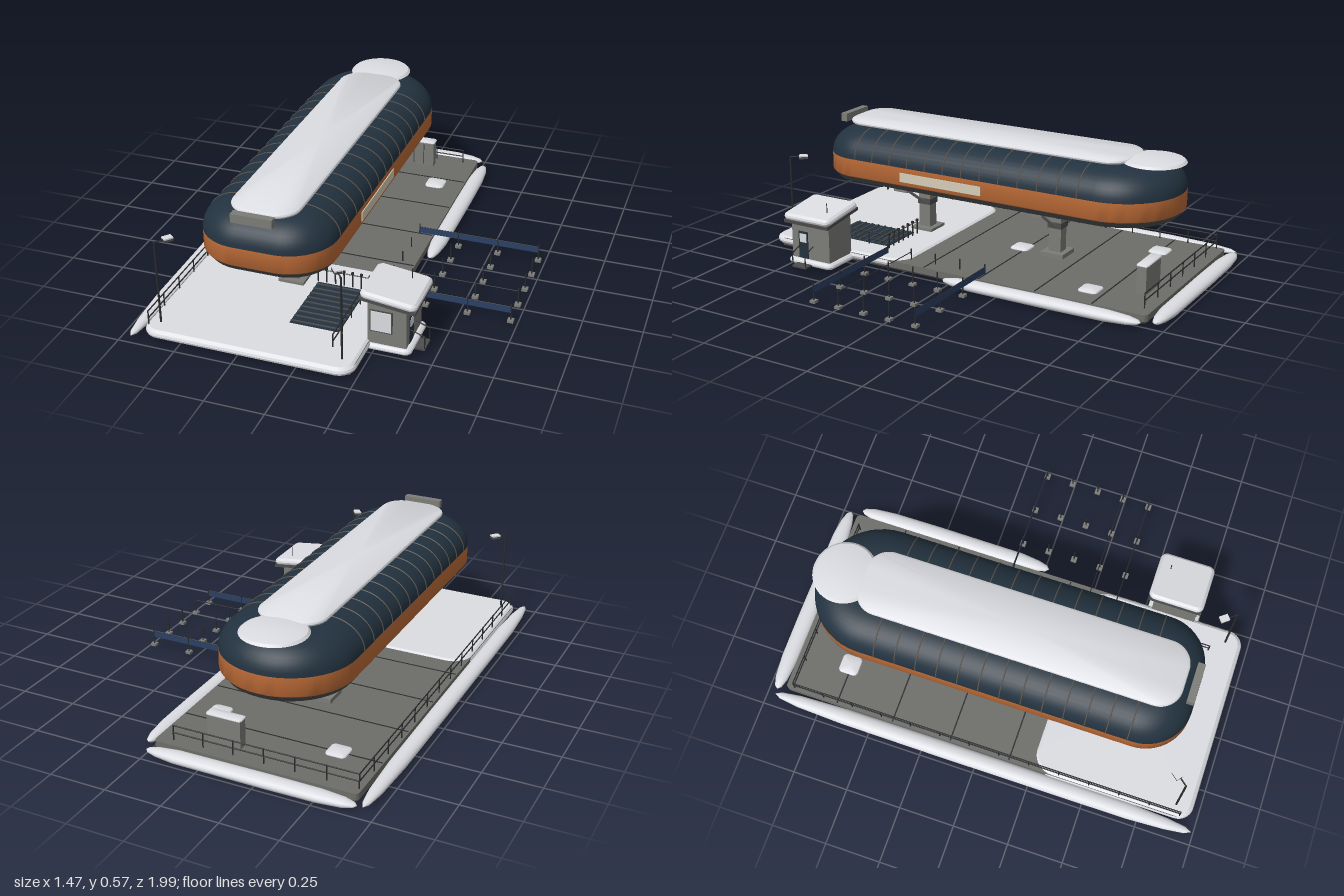
import * as THREE from 'three';
import { toCreasedNormals } from 'three/addons/utils/BufferGeometryUtils.js';

const paint = (name, color) => {
  const m = new THREE.MeshStandardMaterial({ color });
  m.name = name;
  return m;
};

export function createModel() {
  const model = new THREE.Group();
  const snow = paint('snow', 0xdcdde2), deckGrey = paint('deckGrey', 0x6d6d69), wallGrey = paint('wallGrey', 0x7c7c78),
    navy = paint('navy', 0x22323f), orange = paint('orange', 0xc06d38), dark = paint('dark', 0x2a2c2e),
    underGrey = paint('underGrey', 0x4c4d4c), seam = paint('seam', 0x5f554c), blue = paint('blue', 0x2b4065),
    cream = paint('cream', 0xd6cdb8);

  const add = (name, geo, mat, x = 0, y = 0, z = 0, parent = model) => {
    const m = new THREE.Mesh(geo, mat);
    m.name = name;
    m.position.set(x, y, z);
    parent.add(m);
    return m;
  };
  // Box given by its extents on each axis
  const box = (name, mat, x0, x1, y0, y1, z0, z1, parent = model) =>
    add(name, new THREE.BoxGeometry(x1 - x0, y1 - y0, z1 - z0), mat, (x0 + x1) / 2, (y0 + y1) / 2, (z0 + z1) / 2, parent);
  // Thin rod between two points
  const rod = (name, mat, a, b, r, parent = model) => {
    const p = new THREE.Vector3(...a), q = new THREE.Vector3(...b), d = q.clone().sub(p);
    const m = add(name, new THREE.CylinderGeometry(r, r, d.length(), 8), mat, 0, 0, 0, parent);
    m.position.copy(p).add(q).multiplyScalar(0.5);
    m.quaternion.setFromUnitVectors(new THREE.Vector3(0, 1, 0), d.normalize());
    return m;
  };
  // Rounded plan outline lofted through [inset, y] layers, from bottom to top
  const loft = (x0, x1, z0, z1, rBack, rFront, layers) => {
    const n = 12, count = 4 * (n + 1), pos = [], idx = [];
    for (const [inset, y] of layers) {
      for (let c = 0; c < 4; c++) {
        const front = c < 2, right = c === 0 || c === 3;
        const r = Math.max((front ? rFront : rBack) - inset, 0.004);
        const cx = right ? x1 - inset - r : x0 + inset + r;
        const cz = front ? z1 - inset - r : z0 + inset + r;
        for (let i = 0; i <= n; i++) {
          const a = (c + i / n) * Math.PI / 2;
          pos.push(cx + r * Math.cos(a), y, cz + r * Math.sin(a));
        }
      }
    }
    const last = layers.length - 1, bottom = layers.length * count, top = bottom + 1;
    pos.push((x0 + x1) / 2, layers[0][1], (z0 + z1) / 2, (x0 + x1) / 2, layers[last][1], (z0 + z1) / 2);
    for (let j = 0; j < count; j++) {
      const k = (j + 1) % count;
      for (let l = 0; l < last; l++) {
        const a = l * count + j, b = l * count + k, c = a + count, d = b + count;
        idx.push(a, c, b, b, c, d);
      }
      idx.push(bottom, j, k, top, last * count + k, last * count + j);
    }
    const g = new THREE.BufferGeometry();
    g.setAttribute('position', new THREE.Float32BufferAttribute(pos, 3));
    g.setIndex(idx);
    return toCreasedNormals(g, 0.6);
  };
  // Pillow edge used for snow layers
  const pillow = (y0, y1, e) => [[e, y0], [e * 0.2, y0 + (y1 - y0) * 0.25], [0, (y0 + y1) / 2],
    [e * 0.2, y0 + (y1 - y0) * 0.75], [e, y1]];

  // Platform and its snow
  add('platform', loft(-0.66, 0.235, -0.92, 0.95, 0.02, 0.06, [[0.01, 0.035], [0, 0.045], [0, 0.075]]), deckGrey);
  box('platformUnderside', underGrey, -0.64, 0.22, 0.032, 0.035, -0.9, 0.92);
  add('frontSnow', loft(-0.665, 0.24, 0.235, 0.97, 0.1, 0.07, pillow(0.042, 0.082, 0.018)), snow);
  for (const z of [-0.675, -0.41, -0.137, 0.138]) box('deckSeam', dark, -0.655, 0.23, 0.074, 0.0765, z - 0.003, z + 0.003);
  for (const [x, z] of [[0.105, -0.61], [-0.47, -0.68], [-0.2, -0.12]])
    add('snowPatch', loft(x - 0.045, x + 0.045, z - 0.045, z + 0.045, 0.02, 0.02, pillow(0.074, 0.09, 0.01)), snow);

  // Tapered snow banks round three edges
  const bank = (length, width, height, x, z, alongX) => {
    const profile = [[0, -0.5], [0.4, -0.485], [0.72, -0.44], [0.95, -0.33], [1, -0.1], [0.97, 0.15],
      [0.95, 0.35], [0.7, 0.44], [0.4, 0.485], [0, 0.5]].map(([r, t]) => new THREE.Vector2(r, t));
    const g = new THREE.LatheGeometry(profile, 20);
    g.scale(width / 2, length, height / 2);
    g.rotateX(Math.PI / 2);
    if (alongX) g.rotateY(Math.PI / 2);
    add('snowBank', g, snow, x, 0.054, z);
  };
  bank(1.95, 0.075, 0.05, -0.698, 0.015, false);
  bank(0.92, 0.08, 0.05, -0.215, -0.96, true);
  bank(0.93, 0.075, 0.05, 0.267, -0.445, false);

  // Cabin body
  const X0 = -0.5, X1 = 0.07, Z0 = -0.872, Z1 = 0.828, CX = -0.215;
  const dome = [];
  for (let i = 0; i <= 10; i++) {
    const a = i / 10 * Math.PI / 2;
    dome.push([0.15 * (1 - Math.cos(a)), 0.455 + 0.12 * Math.sin(a)]);
  }
  const cabin = (name, mat, layers) => add(name, loft(X0, X1, Z0, Z1, 0.28, 0.2, layers), mat);
  cabin('cabinDome', navy, dome);
  cabin('cabinBand', orange, [[0.004, 0.37], [0, 0.376], [0, 0.455]]);
  cabin('cabinSkirt', underGrey, [[0.05, 0.337], [0.025, 0.343], [0.004, 0.37]]);
  cabin('cabinFloor', dark, [[0.1, 0.333], [0.1, 0.338]]);
  box('sidePanel', cream, 0.066, 0.074, 0.39, 0.432, -0.055, 0.362);

  // Dome seams and lamps under the skirt
  for (let i = 0; i < 13; i++) {
    const z = -0.515 + i * 0.0935;
    for (const s of [-1, 1]) {
      const pts = dome.map(([d, y]) => new THREE.Vector3(CX + s * (0.285 - d), y, z));
      add('domeSeam', new THREE.TubeGeometry(new THREE.CatmullRomCurve3(pts), 14, 0.003, 5), seam);
    }
  }
  const lampGeo = new THREE.SphereGeometry(0.008, 8, 6);
  for (let i = 0; i < 24; i++)
    for (const s of [-1, 1]) add('skirtLamp', lampGeo, underGrey, CX + s * 0.225, 0.337, -0.5 + i * 0.048);

  // Snow on the roof and the front sign box
  add('roofSnow', loft(-0.362, -0.068, -0.66, 0.765, 0.1, 0.1, pillow(0.57, 0.597, 0.014)), snow);
  add('roofSnowDisc', loft(-0.36, -0.08, -0.875, -0.6, 0.137, 0.137, [[0.02, 0.57], [0, 0.577], [0.01, 0.587], [0.06, 0.596]]), snow);
  box('roofBox', wallGrey, -0.305, -0.13, 0.565, 0.603, 0.79, 0.822);

  // Supports
  for (const z of [0.4, -0.288]) {
    const g = new THREE.Group();
    g.name = 'support';
    model.add(g);
    box('column', wallGrey, -0.244, -0.19, 0.08, 0.337, z - 0.03, z + 0.03, g);
    box('columnFoot', wallGrey, -0.275, -0.16, 0.074, 0.095, z - 0.055, z + 0.055, g);
    box('columnCollar', underGrey, -0.25, -0.184, 0.205, 0.232, z - 0.034, z + 0.034, g);
    box('crossBeam', wallGrey, -0.44, 0.01, 0.318, 0.338, z - 0.035, z + 0.035, g);
    for (const s of [-1, 1]) rod('brace', wallGrey, [CX + s * 0.02, 0.21, z], [CX + s * 0.185, 0.322, z], 0.007, g);
  }

  // Railings
  const railing = (ax, az, bx, bz, posts) => {
    const g = new THREE.Group();
    g.name = 'railing';
    model.add(g);
    for (const y of [0.108, 0.14]) rod('rail', dark, [ax, y, az], [bx, y, bz], 0.0028, g);
    for (let i = 0; i <= posts; i++) {
      const t = i / posts, x = ax + (bx - ax) * t, z = az + (bz - az) * t;
      rod('railPost', dark, [x, 0.074, z], [x, 0.142, z], 0.003, g);
    }
  };
  railing(-0.648, -0.88, -0.648, 0.92, 13);
  railing(-0.648, -0.88, 0.165, -0.88, 6);
  railing(0.115, 0.4, 0.115, 0.83, 4);

  // Entrance grating with a row of posts
  box('entranceWell', navy, -0.11, 0.103, 0.078, 0.086, 0.41, 0.73);
  for (let i = 0; i < 9; i++) box('gratingBar', underGrey, -0.11, 0.103, 0.085, 0.09, 0.425 + i * 0.036, 0.431 + i * 0.036);
  for (let i = 0; i < 7; i++) {
    const x = -0.115 + i * 0.039;
    rod('entrancePost', dark, [x, 0.076, 0.395], [x, 0.145, 0.395], 0.0035);
    box('entrancePostCap', dark, x - 0.005, x + 0.005, 0.143, 0.153, 0.39, 0.4);
  }
  rod('entranceRail', seam, [-0.115, 0.14, 0.395], [0.16, 0.14, 0.395], 0.0025);

  // Rear cabinet
  box('cabinet', wallGrey, -0.112, 0.038, 0.074, 0.198, -0.83, -0.787);
  add('cabinetSnow', loft(-0.117, 0.043, -0.835, -0.782, 0.012, 0.012, pillow(0.194, 0.208, 0.007)), snow);
  for (const x of [-0.062, -0.012]) box('cabinetJoint', underGrey, x - 0.002, x + 0.002, 0.085, 0.19, -0.788, -0.784);

  // Lamp posts at the front corners
  for (const s of [-1, 1]) {
    const x = CX + s * 0.392, hx = x - s * 0.035;
    rod('lampPole', dark, [x, 0.075, 0.893], [x, 0.455, 0.893], 0.0045);
    rod('lampArm', dark, [x, 0.455, 0.893], [hx, 0.455, 0.85], 0.003);
    const head = add('lampHead', new THREE.BoxGeometry(0.03, 0.01, 0.04), underGrey, hx, 0.45, 0.845);
    head.rotation.y = s * 0.68;
    const cap = add('lampSnow', new THREE.BoxGeometry(0.03, 0.006, 0.04), snow, hx, 0.458, 0.845);
    cap.rotation.y = s * 0.68;
  }

  // Booth
  const booth = new THREE.Group();
  booth.name = 'booth';
  model.add(booth);
  box('boothBody', wallGrey, 0.225, 0.388, 0.055, 0.25, 0.53, 0.732, booth);
  add('boothSnow', loft(0.215, 0.41, 0.51, 0.75, 0.03, 0.03, pillow(0.04, 0.068, 0.012)), snow, 0, 0, 0, booth);
  box('frontWindowFrame', underGrey, 0.234, 0.331, 0.124, 0.226, 0.73, 0.734, booth);
  box('frontWindow', snow, 0.24, 0.325, 0.13, 0.22, 0.731, 0.737, booth);
  box('sideDoor', navy, 0.386, 0.391, 0.07, 0.195, 0.645, 0.695, booth);
  box('sideWindow', snow, 0.387, 0.393, 0.145, 0.185, 0.652, 0.688, booth);
  const roof = new THREE.Group();
  roof.name = 'boothRoof';
  roof.position.set(0.31, 0.262, 0.627);
  roof.rotation.z = -0.125;
  booth.add(roof);
  box('roofPanel', underGrey, -0.118, 0.118, -0.01, 0.004, -0.118, 0.118, roof);
  add('roofPanelSnow', loft(-0.12, 0.12, -0.125, 0.125, 0.03, 0.03, pillow(0.0, 0.034, 0.014)), snow, 0, 0, 0, roof);
  rod('antenna', dark, [0.355, 0.27, 0.56], [0.355, 0.335, 0.56], 0.002, booth);
  box('boothStep', underGrey, 0.39, 0.452, 0.045, 0.054, 0.615, 0.69, booth);
  for (const z of [0.618, 0.687]) {
    rod('stepRail', dark, [0.39, 0.132, z], [0.45, 0.11, z], 0.0025, booth);
    rod('stepRailPost', dark, [0.45, 0.05, z], [0.45, 0.11, z], 0.0025, booth);
  }

  // Queue barriers
  [-0.137, -0.011, 0.114, 0.24, 0.366].forEach((z, row) => {
    for (const x of [0.355, 0.537, 0.722]) {
      box('barrierFoot', wallGrey, x - 0.013, x + 0.013, 0.038, 0.05, z - 0.013, z + 0.013);
      rod('barrierPost', dark, [x, 0.05, z], [x, 0.124, z], 0.003);
    }
    rod('barrierDeckPost', dark, [0.172, 0.075, z], [0.172, 0.124, z], 0.003);
    if (row !== 1 && row !== 2) rod('barrierRope', dark, [0.17, 0.11, z], [0.724, 0.11, z], 0.002);
    if (row === 0 || row === 4) box('barrierPanel', blue, 0.17, 0.722, 0.082, 0.109, z - 0.002, z + 0.002);
  });
  return model;
}
